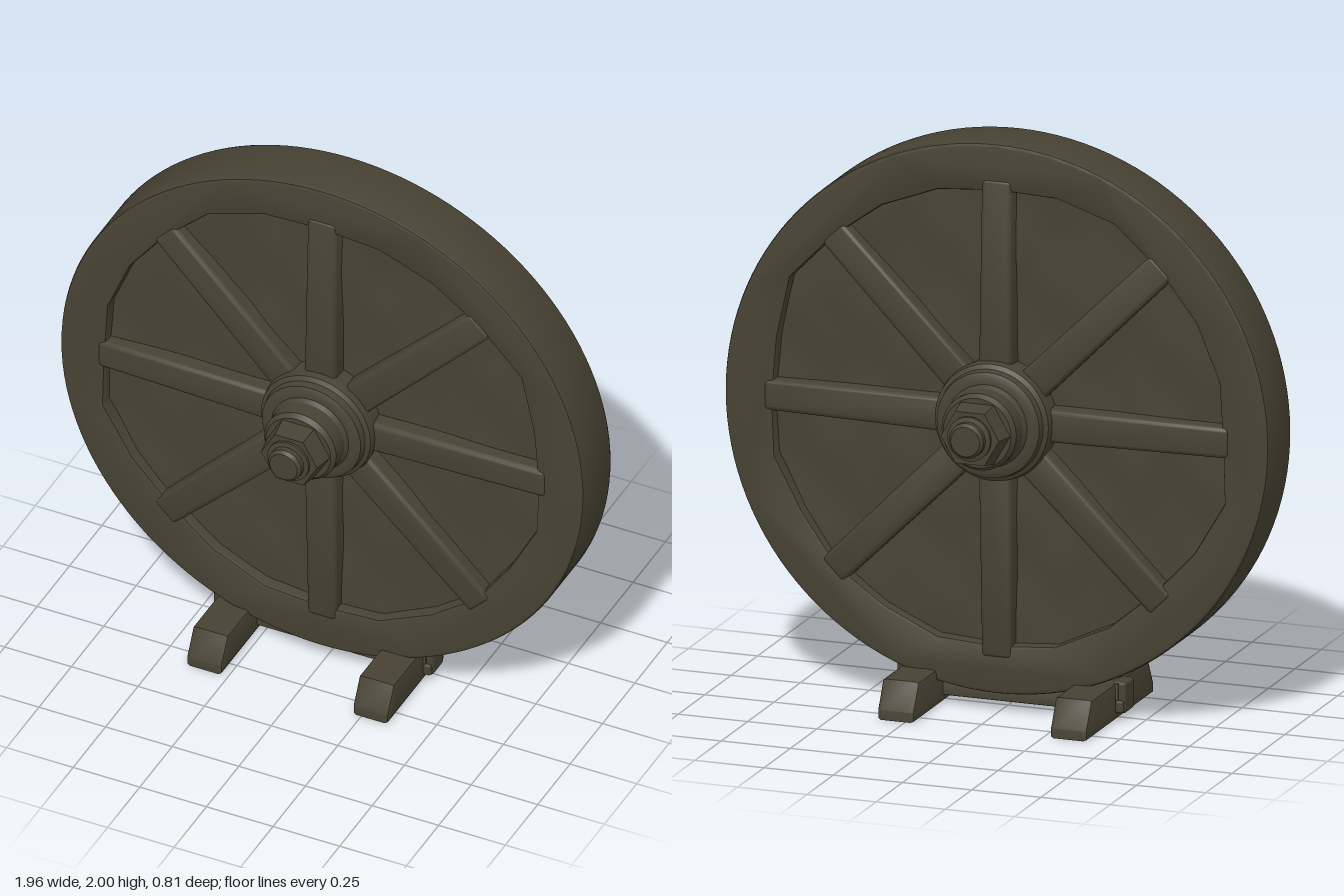
import * as THREE from 'three';
import { toCreasedNormals } from 'three/addons/utils/BufferGeometryUtils.js';
import { RoundedBoxGeometry } from 'three/addons/geometries/RoundedBoxGeometry.js';

const AXLE_Y = 1.035;

export function createModel() {
  const model = new THREE.Group();
  const wood = new THREE.MeshStandardMaterial({ color: 0x474233 });
  wood.name = 'dark weathered wood';

  const add = (parent, name, geometry, x = 0, y = 0, z = 0) => {
    const mesh = new THREE.Mesh(geometry, wood);
    mesh.name = name;
    mesh.position.set(x, y, z);
    parent.add(mesh);
    return mesh;
  };
  const extrude = (shape, depth, bevel, curveSegments = 12) => {
    const g = new THREE.ExtrudeGeometry(shape, {
      depth: depth - 2 * bevel, bevelEnabled: true, bevelThickness: bevel,
      bevelSize: bevel, bevelOffset: -bevel, bevelSegments: 2, curveSegments,
    });
    g.translate(0, 0, bevel - depth / 2);
    return toCreasedNormals(g, 0.6);
  };

  const wheel = new THREE.Group();
  wheel.name = 'wheel';
  wheel.position.y = AXLE_Y;
  model.add(wheel);

  // Rim with a hand-cut, uneven inner edge (one radius every 15 degrees)
  const innerRadii = [0.81, 0.82, 0.86, 0.835, 0.83, 0.825, 0.815, 0.835, 0.85, 0.83, 0.83, 0.83,
    0.815, 0.85, 0.82, 0.8, 0.81, 0.82, 0.81, 0.825, 0.815, 0.82, 0.81, 0.83];
  const rimShape = new THREE.Shape().absarc(0, 0, 0.982, 0, Math.PI * 2, false);
  rimShape.holes.push(new THREE.Path(innerRadii.map((r, i) => {
    const a = -i * Math.PI / 12;
    return new THREE.Vector2(r * Math.cos(a), -r * Math.sin(a));
  }).reverse()));
  add(wheel, 'rim', extrude(rimShape, 0.22, 0.012, 64)).scale.y = 0.984;

  // Dented panels behind the spokes, one on each side
  for (const side of [1, -1]) {
    const g = new THREE.RingGeometry(0.08, 0.88, 96, 20);
    const p = g.attributes.position;
    for (let i = 0; i < p.count; i++) {
      const x = p.getX(i), y = p.getY(i);
      p.setZ(i, 0.006 * Math.sin(9 * x + 3 * y) * Math.cos(11 * y - 4 * x)
        + 0.003 * Math.sin(23 * x) * Math.sin(19 * y + 2));
    }
    g.computeVertexNormals();
    const panel = add(wheel, side > 0 ? 'frontPanel' : 'backPanel', g, 0, 0, side * 0.065);
    if (side < 0) panel.rotation.y = Math.PI;
    panel.scale.y = 0.984;
  }

  // Eight spokes, thicker towards the hub
  const spokeLength = 0.78;
  for (let i = 0; i < 8; i++) {
    const g = new RoundedBoxGeometry(spokeLength, 0.12, 0.27, 3, 0.018);
    const p = g.attributes.position;
    for (let k = 0; k < p.count; k++) {
      const t = p.getX(k) / spokeLength + 0.5;
      p.setY(k, p.getY(k) * (1 - 0.1 * t));
      p.setZ(k, p.getZ(k) * (1 - 0.15 * t));
    }
    g.computeVertexNormals();
    g.translate(0.06 + spokeLength / 2, 0, 0);
    add(wheel, 'spoke', toCreasedNormals(g, 0.7)).rotation.z = i * Math.PI / 4;
  }

  // Hub flange and drum, with nut and axle end, on both sides
  const hubProfile = [[0.205, 0.06], [0.21, 0.13], [0.205, 0.155], [0.19, 0.165], [0.185, 0.19],
    [0.165, 0.2], [0.145, 0.2], [0.135, 0.215], [0.135, 0.275], [0.122, 0.292], [0, 0.292]]
    .map(([r, h]) => new THREE.Vector2(r, h));
  const axleProfile = [[0.078, 0.29], [0.078, 0.372], [0.062, 0.376], [0.062, 0.395], [0.052, 0.407], [0, 0.407]]
    .map(([r, h]) => new THREE.Vector2(r, h));
  for (const side of [1, -1]) {
    const hub = new THREE.Group();
    hub.name = side > 0 ? 'frontHub' : 'backHub';
    hub.rotation.x = side * Math.PI / 2;
    wheel.add(hub);
    add(hub, 'hubFlange', toCreasedNormals(new THREE.LatheGeometry(hubProfile, 48), 0.5));
    add(hub, 'axleEnd', toCreasedNormals(new THREE.LatheGeometry(axleProfile, 24), 0.5));
    const nut = new THREE.CylinderGeometry(0.105, 0.12, 0.075, 6, 1, false, Math.PI / 6);
    add(hub, 'nut', toCreasedNormals(nut, 0.3), 0, 0.325, 0);
  }

  // Stand: two feet joined by a hollowed cradle
  const stand = new THREE.Group();
  stand.name = 'stand';
  stand.position.x = -0.028;
  model.add(stand);

  const footShape = new THREE.Shape([[-0.32, 0], [0.32, 0], [0.32, 0.035], [0.27, 0.13], [-0.27, 0.13], [-0.32, 0.035]]
    .map(([z, y]) => new THREE.Vector2(z, y)));
  for (const side of [1, -1]) {
    add(stand, side > 0 ? 'leftFoot' : 'rightFoot', extrude(footShape, 0.135, 0.014), side * 0.312)
      .rotation.y = Math.PI / 2;
    // Tenon and peg where the cradle passes through the foot
    add(stand, 'tenon', new RoundedBoxGeometry(0.05, 0.11, 0.09, 2, 0.012), side * 0.388, 0.08, 0);
    add(stand, 'peg', new RoundedBoxGeometry(0.03, 0.045, 0.11, 2, 0.01), side * 0.393, 0.05, 0);
  }

  const cradleShape = new THREE.Shape();
  cradleShape.moveTo(-0.39, 0.025);
  cradleShape.lineTo(0.39, 0.025);
  cradleShape.lineTo(0.39, 0.13);
  cradleShape.lineTo(0.34, 0.13);
  cradleShape.quadraticCurveTo(0, 0.02, -0.34, 0.13);
  cradleShape.lineTo(-0.39, 0.13);
  add(stand, 'cradle', extrude(cradleShape, 0.1, 0.008, 24));

  return model;
}
